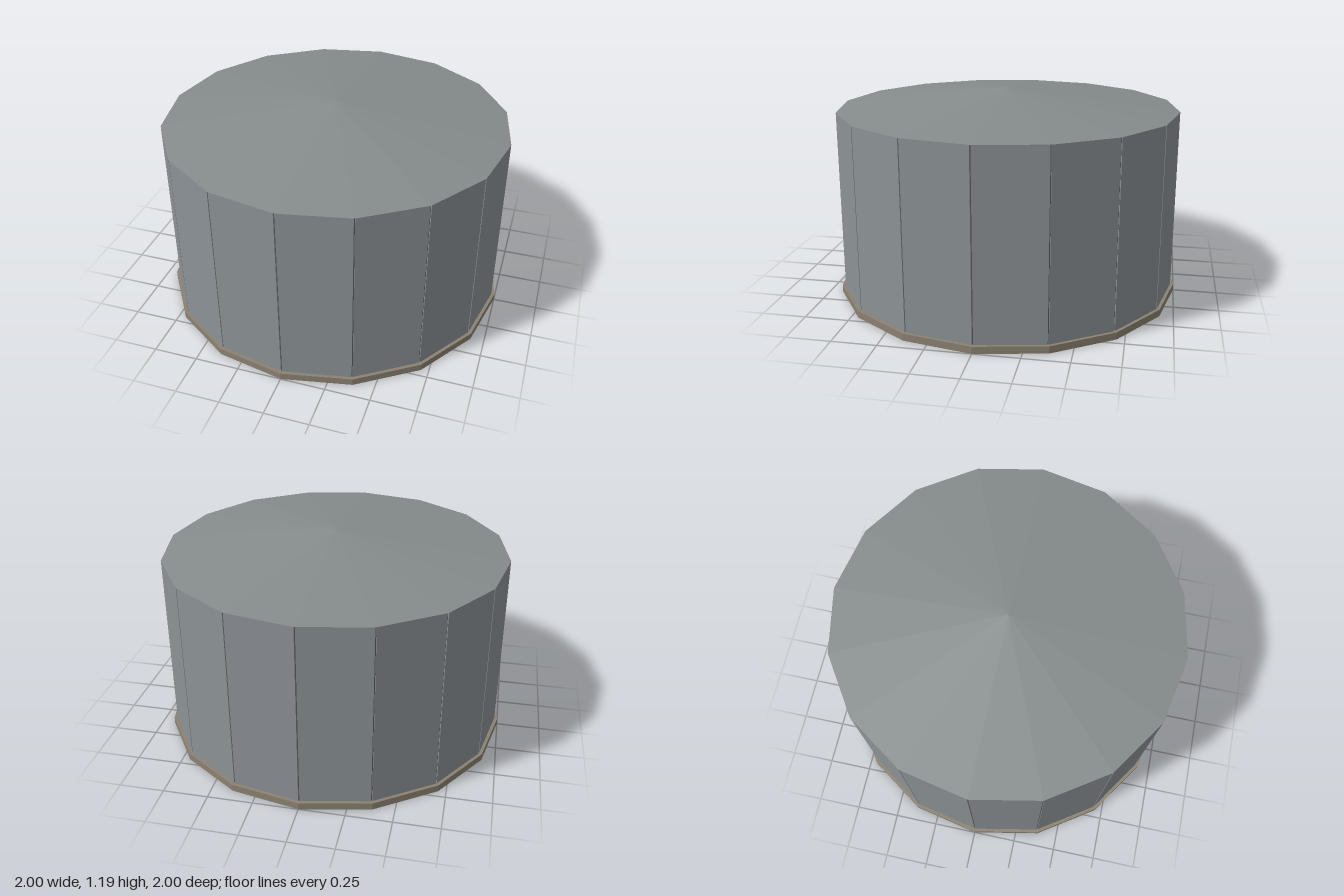
import * as THREE from 'three';

const SIDES = 16;
const WALL_R = 0.982, BASE_H = 0.04, EAVE = 1.075, PEAK = 1.187;

const paint = (color) => new THREE.MeshStandardMaterial({ color, flatShading: true });

function part(name, geometry, material, y = 0) {
  const mesh = new THREE.Mesh(geometry, material);
  mesh.name = name;
  mesh.position.y = y;
  return mesh;
}

export function createModel() {
  const model = new THREE.Group();
  model.name = 'tank';
  const wallPaint = paint(0x8c9296);
  const roofPaint = paint(0x868c8c);
  const basePaint = paint(0x8c8272);
  const seamPaint = paint(0x505558);
  const wallH = EAVE - BASE_H;
  const midY = BASE_H + wallH / 2;

  // Foundation slab
  model.add(part('foundation', new THREE.CylinderGeometry(1, 1, BASE_H, SIDES), basePaint, BASE_H / 2));

  // Dark core that shows through the narrow seams between panels
  model.add(part('seamCore', new THREE.CylinderGeometry(0.977, 0.977, wallH, SIDES), seamPaint, midY));

  // Ring of flat wall panels
  const walls = new THREE.Group();
  walls.name = 'wallPanels';
  const width = 2 * WALL_R * Math.sin(Math.PI / SIDES) - 0.007;
  const apothem = WALL_R * Math.cos(Math.PI / SIDES);
  const panelGeometry = new THREE.BoxGeometry(width, wallH, 0.02);
  panelGeometry.translate(0, 0, apothem - 0.01);
  for (let i = 0; i < SIDES; i++) {
    const panel = part('wallPanel', panelGeometry, wallPaint, midY);
    panel.rotation.y = ((i + 0.5) / SIDES) * Math.PI * 2;
    walls.add(panel);
  }
  model.add(walls);

  // Shallow pointed roof
  const roofH = PEAK - EAVE;
  model.add(part('roof', new THREE.ConeGeometry(WALL_R, roofH, SIDES), roofPaint, EAVE + roofH / 2));

  return model;
}
